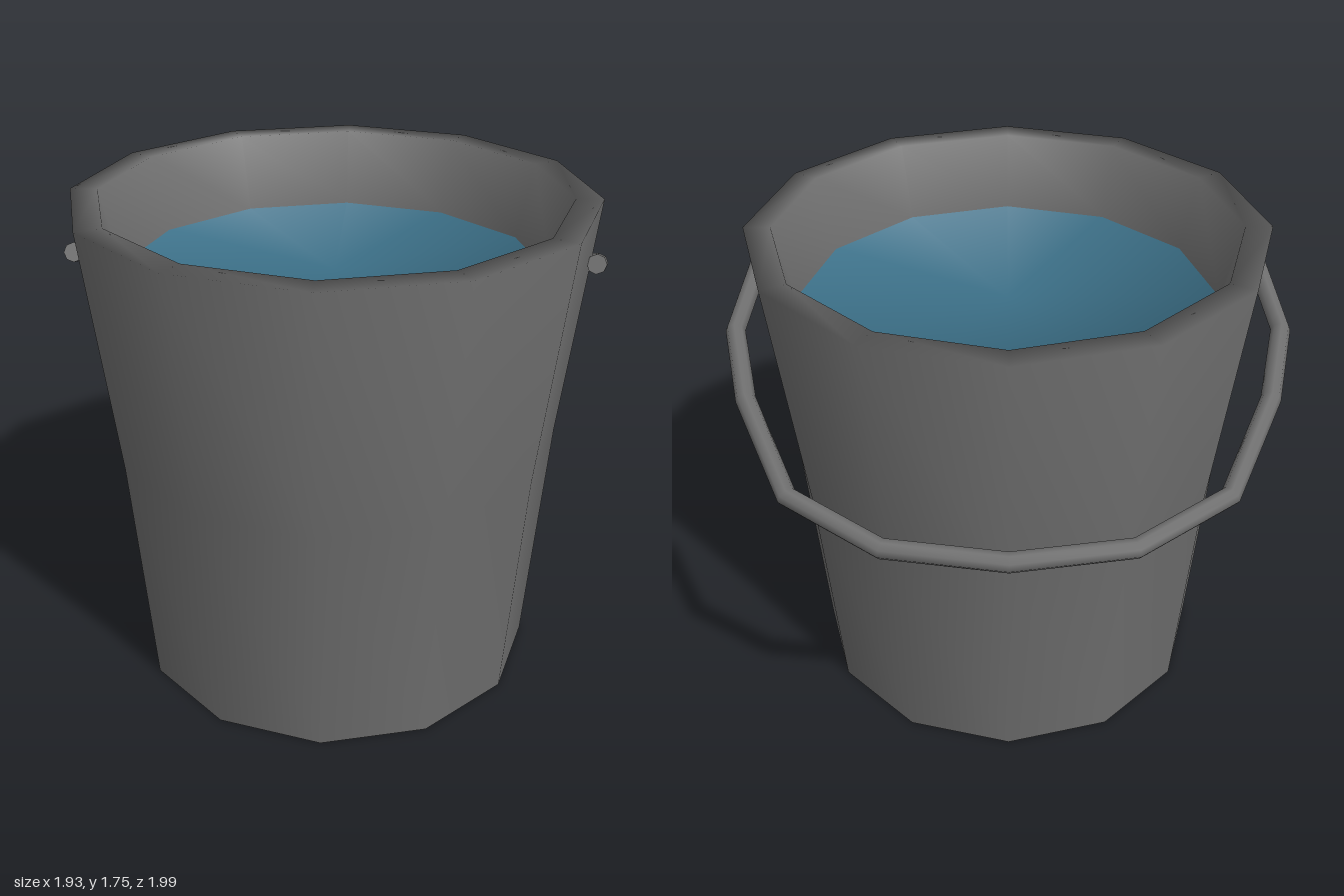
import * as THREE from 'three';

const SIDES = 12;
const CENTRE_Z = 0.09;

// Curve through corner points; each corner is a tube ring with a mitred tangent.
class CornerPath extends THREE.Curve {
  constructor(points) {
    super();
    this.points = points;
  }
  getPoint(t, target = new THREE.Vector3()) {
    const last = this.points.length - 1;
    const i = Math.min(Math.floor(t * last + 1e-6), last - 1);
    return target.lerpVectors(this.points[i], this.points[i + 1], t * last - i);
  }
  getPointAt(t, target) {
    return this.getPoint(t, target);
  }
  getTangentAt(t, target = new THREE.Vector3()) {
    const p = this.points, last = p.length - 1, i = Math.round(t * last);
    target.set(0, 0, 0);
    if (i > 0) target.add(p[i].clone().sub(p[i - 1]).normalize());
    if (i < last) target.add(p[i + 1].clone().sub(p[i]).normalize());
    return target.normalize();
  }
}

const profile = (pairs) => pairs.map(([r, y]) => new THREE.Vector2(r, y));

export function createModel() {
  const model = new THREE.Group();
  model.name = 'bucket';
  const metal = new THREE.MeshStandardMaterial({ color: 0x6e6e6e });
  metal.name = 'grey metal';
  const blue = new THREE.MeshStandardMaterial({ color: 0x3c7088 });
  blue.name = 'water blue';

  const add = (name, geometry, material, parent = model) => {
    const mesh = new THREE.Mesh(geometry, material);
    mesh.name = name;
    parent.add(mesh);
    return mesh;
  };

  // Wall: outside, rim and inside down to the water, smooth all round
  const wall = new THREE.LatheGeometry(
    profile([[0.73, 0], [0.8, 0.88], [0.905, 1.75], [0.81, 1.75], [0.745, 1.48]]), SIDES);
  add('wall', wall, metal).position.z = CENTRE_Z;

  // Flat base
  const base = new THREE.CircleGeometry(0.73, SIDES).rotateX(Math.PI / 2);
  add('base', base, metal).position.z = CENTRE_Z;

  // Water surface, its edge normals leaning inwards to blend with the wall
  const waterGeometry = new THREE.LatheGeometry(profile([[0.745, 1.48], [0, 1.48]]), SIDES);
  const pos = waterGeometry.attributes.position, normal = waterGeometry.attributes.normal;
  const n = new THREE.Vector3();
  for (let i = 0; i < pos.count; i++) {
    n.set(-pos.getX(i), 0.8, -pos.getZ(i)).normalize();
    normal.setXYZ(i, n.x, n.y, n.z);
  }
  add('water', waterGeometry, blue).position.z = CENTRE_Z;

  // Handle: a bail resting against the back, tilted down
  const half = [[0.885, 0.19], [0.932, -0.1], [0.865, -0.38], [0.695, -0.74], [0.39, -0.92]];
  const mirrored = half.map(([x, z]) => [-x, z]).reverse();
  const points = [...half, [0, -0.967], ...mirrored]
    .map(([x, z]) => new THREE.Vector3(x, 1.49 + 0.35 * z, z));
  const handle = new THREE.Group();
  handle.name = 'handle';
  model.add(handle);
  const path = new CornerPath(points);
  add('handleBar', new THREE.TubeGeometry(path, points.length - 1, 0.034, 8), metal, handle);

  // Handle end caps
  for (const t of [0, 1]) {
    const end = path.getPointAt(t);
    const outward = path.getTangentAt(t).multiplyScalar(t ? 1 : -1);
    const cap = add('handleEnd', new THREE.CircleGeometry(0.034, 8), metal, handle);
    cap.position.copy(end);
    cap.quaternion.setFromUnitVectors(new THREE.Vector3(0, 0, 1), outward);
  }
  return model;
}
